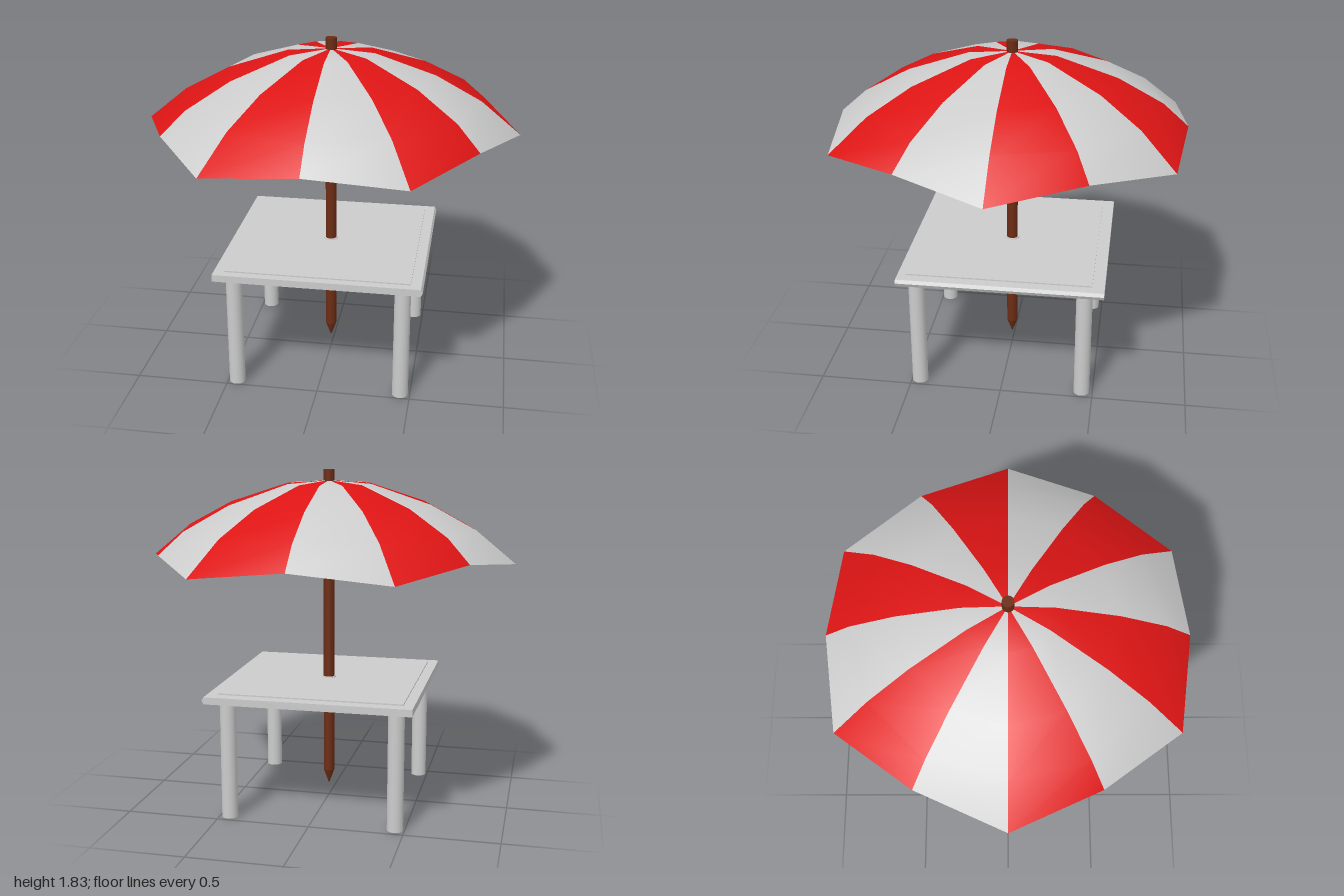
import * as THREE from 'three';

export function createModel() {
  const model = new THREE.Group();
  const grey = new THREE.MeshStandardMaterial({ color: 0xcccccc });
  const brown = new THREE.MeshStandardMaterial({ color: 0x6b2c14 });
  const greyCloth = new THREE.MeshStandardMaterial({ color: 0xcccccc, side: THREE.DoubleSide });
  const redCloth = new THREE.MeshStandardMaterial({ color: 0xdd1414, side: THREE.DoubleSide });

  function add(name, geometry, material, x = 0, y = 0, z = 0) {
    const mesh = new THREE.Mesh(geometry, material);
    mesh.name = name;
    mesh.position.set(x, y, z);
    model.add(mesh);
    return mesh;
  }

  // Canopy: twelve panels over rings [radius, y]; the rim dips at every other rib
  const rings = [[0.23, 1.755], [0.55, 1.65], [0.79, 1.522]];
  const panels = 12;
  const points = [0, 1.772, 0];
  const panelFaces = [[], []];
  for (let i = 0; i < panels; i++) {
    const a = (i / panels) * Math.PI * 2;
    const rim = i % 2 ? [0.925, 1.403] : [1, 1.35];
    for (const [r, y] of [...rings, rim]) points.push(r * Math.cos(a), y, r * Math.sin(a));
  }
  for (let i = 0; i < panels; i++) {
    const a = 1 + i * 4, b = 1 + ((i + 1) % panels) * 4;
    const faces = panelFaces[i % 2];
    faces.push(0, b, a);
    for (let j = 0; j < 3; j++) faces.push(a + j, b + j, b + j + 1, a + j, b + j + 1, a + j + 1);
  }
  const cloth = new THREE.BufferGeometry();
  cloth.setAttribute('position', new THREE.Float32BufferAttribute(points, 3));
  cloth.setIndex([...panelFaces[0], ...panelFaces[1]]);
  cloth.computeVertexNormals();
  panelFaces.forEach((faces, k) => {
    const part = cloth.clone();
    part.setIndex(faces);
    add(k ? 'redCanopyPanels' : 'greyCanopyPanels', part, k ? redCloth : greyCloth);
  });

  // Pole with a pointed foot
  add('pole', new THREE.CylinderGeometry(0.03, 0.03, 1.68, 24), brown, 0, 0.99, 0);
  add('poleTip', new THREE.CylinderGeometry(0.03, 0.003, 0.075, 24, 1), brown, 0, 0.1125, 0);

  // Table top: slab with a slightly pointed left edge, and a thin raised panel
  const profile = new THREE.Shape([
    [-0.545, 0.645], [0.545, 0.645], [0.555, 0.665], [0.545, 0.683], [-0.545, 0.683],
  ].map(([x, y]) => new THREE.Vector2(x, y)));
  const slab = new THREE.ExtrudeGeometry(profile, { depth: 1.09, bevelEnabled: false });
  add('tableTop', slab.translate(0, 0, -0.545), grey);
  add('raisedPanel', new THREE.BoxGeometry(0.98, 0.02, 0.98), grey, 0, 0.68, 0.01);
  add('poleCollar', new THREE.CylinderGeometry(0.038, 0.042, 0.02, 24), grey, 0, 0.686, 0);

  // Four round legs
  for (const [side, x] of [['left', 0.447], ['right', -0.45]]) {
    for (const [end, z] of [['Front', 0.455], ['Back', -0.44]]) {
      add(side + end + 'Leg', new THREE.CylinderGeometry(0.043, 0.043, 0.65, 24), grey, x, 0.325, z);
    }
  }
  return model;
}
